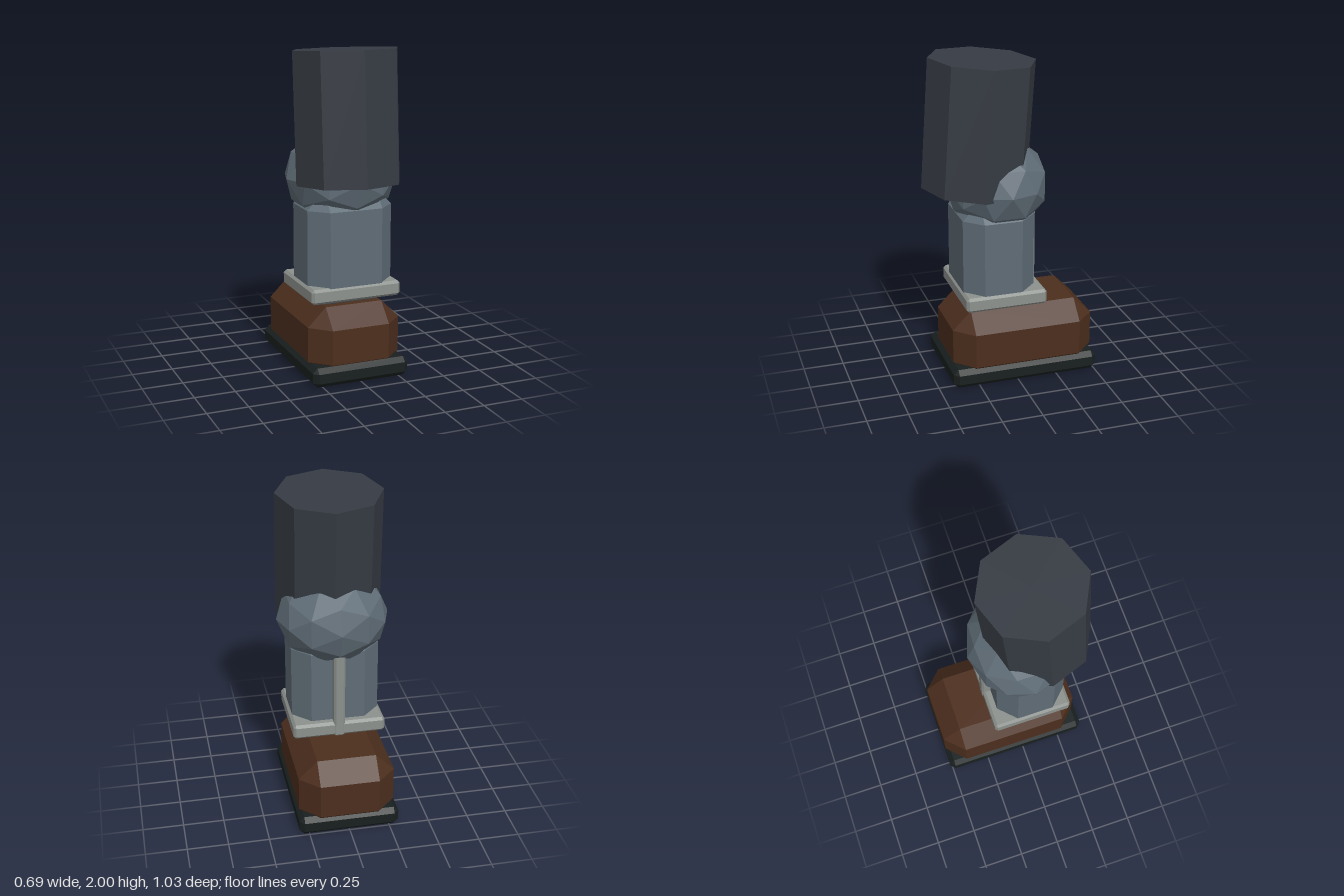
import * as THREE from 'three';
import { ConvexGeometry } from 'three/addons/geometries/ConvexGeometry.js';

const paint = (color) => new THREE.MeshStandardMaterial({ color, flatShading: true });

// Box between two corners with every edge cut by a single flat bevel
function bevelBox(min, max, bevel) {
  const centre = min.map((v, i) => (v + max[i]) / 2);
  const half = min.map((v, i) => (max[i] - v) / 2);
  const points = [];
  for (let axis = 0; axis < 3; axis++) {
    for (let corner = 0; corner < 8; corner++) {
      const p = [0, 1, 2].map((i) => {
        const reach = half[i] - (i === axis ? 0 : bevel);
        return centre[i] + (corner & (1 << i) ? reach : -reach);
      });
      points.push(new THREE.Vector3(...p));
    }
  }
  return new ConvexGeometry(points);
}

export function createModel() {
  const group = new THREE.Group();
  const add = (name, geometry, material) => {
    const mesh = new THREE.Mesh(geometry, material);
    mesh.name = name;
    group.add(mesh);
    return mesh;
  };

  const rubber = paint(0x19201f);
  const leather = paint(0x4c2e1d);
  const armour = paint(0x5f6c76);
  const trim = paint(0x8c918d);
  const cloth = paint(0x363b43);

  // Foot
  add('sole', bevelBox([-0.31, 0, -0.512], [0.31, 0.12, 0.412], 0.03), rubber);
  add('boot', bevelBox([-0.297, 0.01, -0.511], [0.297, 0.456, 0.387], 0.115), leather);

  // Lower leg with its ankle band and rear strut
  add('shin', bevelBox([-0.272, 0.44, -0.135], [0.272, 1.147, 0.312], 0.106), armour);
  add('ankleBand', bevelBox([-0.287, 0.49, -0.185], [0.287, 0.583, 0.323], 0.016), trim);
  add('calfStrut', bevelBox([-0.035, 0.487, -0.19], [0.035, 1.12, -0.12], 0.012), trim);

  // Faceted knee
  const knee = add('knee', new THREE.IcosahedronGeometry(1, 1), armour);
  knee.scale.set(0.346, 0.292, 0.315);
  knee.position.set(0, 1.21, 0.055);

  // Eight-sided thigh, turned slightly and leaning back
  const thighShape = new THREE.CylinderGeometry(0.326, 0.326, 0.79, 8).rotateY(-0.065);
  const thigh = add('thigh', thighShape, cloth);
  thigh.rotation.x = -0.068;
  thigh.position.set(0, 1.583, 0.163);

  return group;
}
